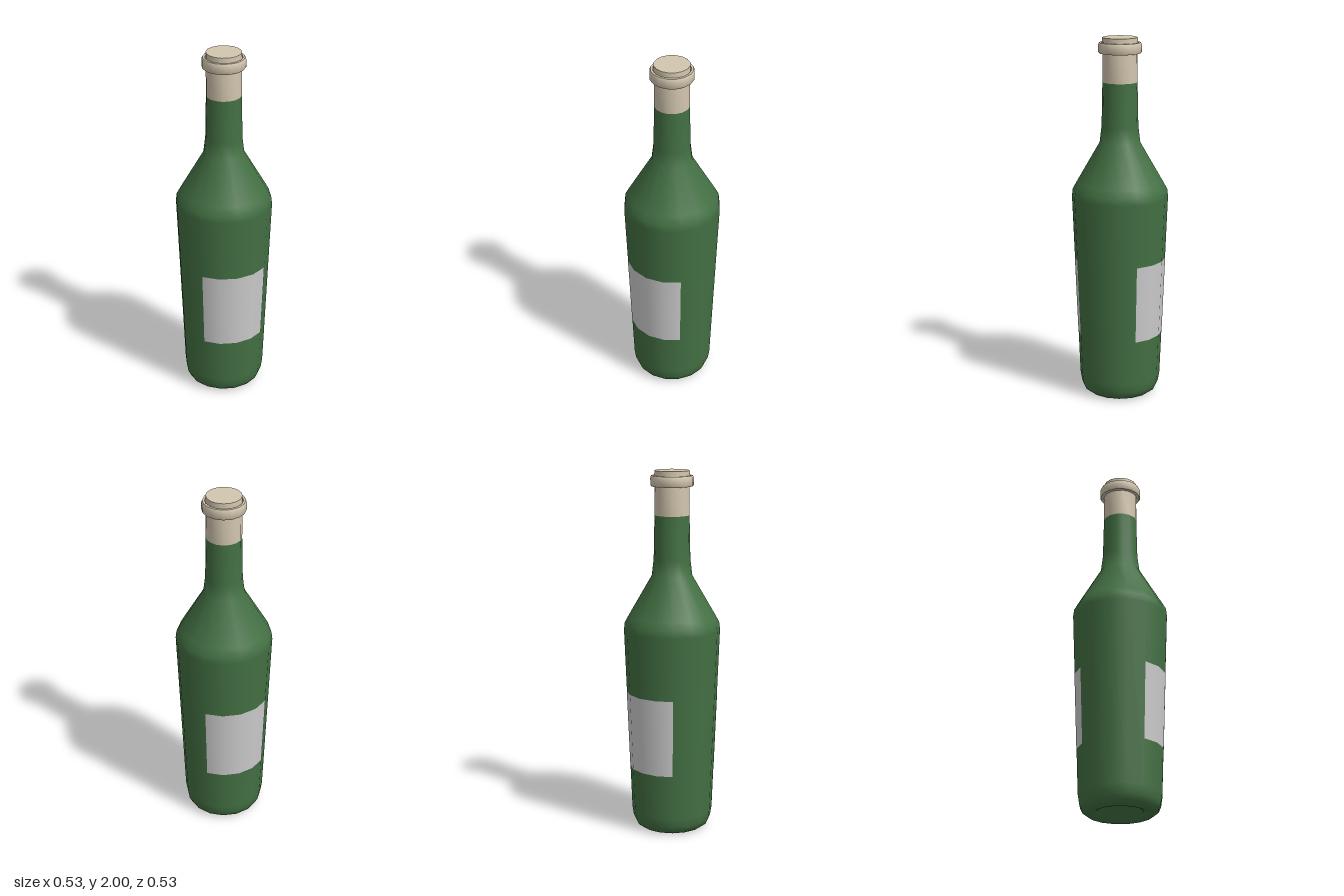
import * as THREE from 'three';
import { toCreasedNormals } from 'three/addons/utils/BufferGeometryUtils.js';

const SIDES = 16;
const green = new THREE.MeshStandardMaterial({ color: 0x437043 });
const tan = new THREE.MeshStandardMaterial({ color: 0xd2c6ae });
const grey = new THREE.MeshStandardMaterial({ color: 0xcccccc, side: THREE.DoubleSide });

const profile = (pairs) => pairs.map(([r, y]) => new THREE.Vector2(r, y));

function addMesh(group, name, geometry, material) {
  const mesh = new THREE.Mesh(geometry, material);
  mesh.name = name;
  group.add(mesh);
  return mesh;
}

export function createModel() {
  const bottle = new THREE.Group();
  bottle.name = 'bottle';

  // Glass: hollow in the base, tapered body, shoulder and neck
  const glass = profile([
    [0, 0.085], [0.06, 0.075], [0.1, 0.045], [0.125, 0.012], [0.15, 0.001], [0.18, 0.003],
    [0.203, 0.02], [0.217, 0.05], [0.225, 0.1], [0.265, 1.13], [0.26, 1.17],
    [0.238, 1.21], [0.111, 1.43], [0.1, 1.52], [0.095, 1.76],
  ]);
  addMesh(bottle, 'glassBody', new THREE.LatheGeometry(glass, SIDES), green);

  // Foil sleeve with raised lip and flat closed top
  const foil = profile([
    [0.095, 1.76], [0.095, 1.916], [0.113, 1.916], [0.117, 1.922], [0.117, 1.962],
    [0.112, 1.973], [0.1, 1.973], [0.096, 1.955], [0.095, 2], [0, 2],
  ]);
  addMesh(bottle, 'foilCap', toCreasedNormals(new THREE.LatheGeometry(foil, SIDES), 0.7), tan);

  // Blank labels, each a quarter turn wide, lying on the tapered body
  const radiusAt = (y) => 0.225 + (y - 0.1) * 0.04 / 1.03 + 0.001;
  const strip = profile([0.35, 0.78].map((y) => [radiusAt(y), y]));
  const labelGeometry = new THREE.LatheGeometry(strip, SIDES / 4, -Math.PI / 4, Math.PI / 2);
  addMesh(bottle, 'frontLabel', labelGeometry, grey);
  addMesh(bottle, 'backLabel', labelGeometry, grey).rotation.y = Math.PI;

  return bottle;
}
